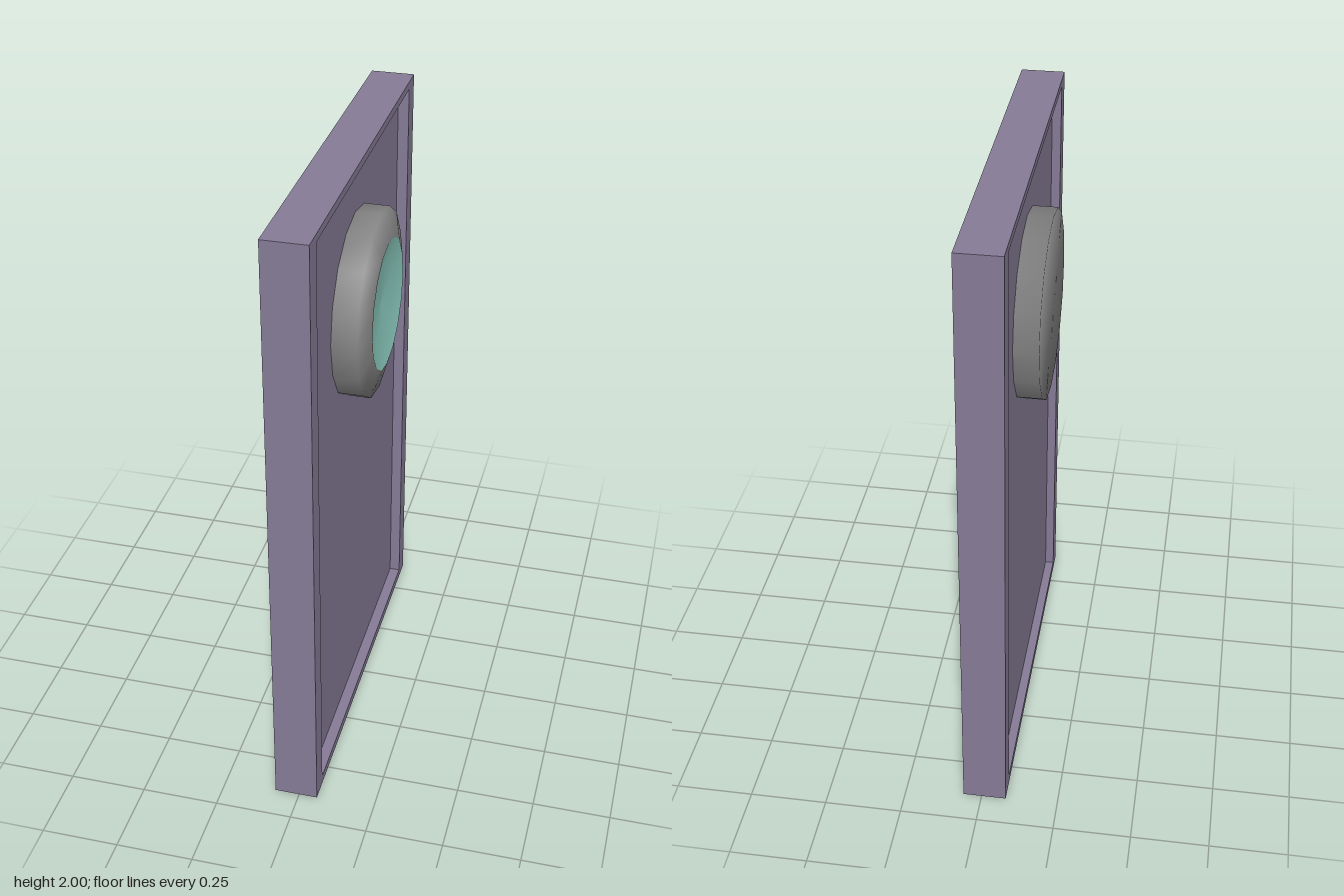
import * as THREE from 'three';

const paint = (color) => new THREE.MeshStandardMaterial({ color });

// Surface of revolution about the x axis; profile points are [radius, x]
function roundPart(name, profile, material) {
  const points = profile.map(([r, x]) => new THREE.Vector2(r, x));
  const mesh = new THREE.Mesh(new THREE.LatheGeometry(points, 16), material);
  mesh.geometry.rotateZ(-Math.PI / 2);
  mesh.position.y = 1.5;
  mesh.name = name;
  return mesh;
}

function rectangle(Type, halfWidth, bottom, top) {
  return new Type([
    new THREE.Vector2(-halfWidth, bottom),
    new THREE.Vector2(halfWidth, bottom),
    new THREE.Vector2(halfWidth, top),
    new THREE.Vector2(-halfWidth, top),
  ]);
}

export function createModel() {
  const group = new THREE.Group();
  const doorPaint = paint(0x857b96);

  // Raised border around the door
  const outline = rectangle(THREE.Shape, 0.645, 0, 2);
  outline.holes.push(rectangle(THREE.Path, 0.575, 0.03, 1.975));
  const frameGeometry = new THREE.ExtrudeGeometry(outline, { depth: 0.14, bevelEnabled: false });
  frameGeometry.rotateY(Math.PI / 2).translate(-0.08, 0, 0);
  const frame = new THREE.Mesh(frameGeometry, doorPaint);
  frame.name = 'doorFrame';

  // Panel sunk into the border on both faces
  const panel = new THREE.Mesh(new THREE.BoxGeometry(0.075, 1.945, 1.15), doorPaint);
  panel.position.set(-0.013, 1.0025, 0);
  panel.name = 'doorPanel';

  // Porthole: closed at the back, bevelled at the front, with a dished pane
  const rim = roundPart('portholeRim',
    [[0, -0.13], [0.3, -0.13], [0.3, 0.105], [0.21, 0.13]], paint(0x858585));
  const pane = roundPart('portholePane',
    [[0.21, 0.13], [0.14, 0.115], [0, 0.105]], paint(0x8cccc0));

  group.add(frame, panel, rim, pane);
  return group;
}
